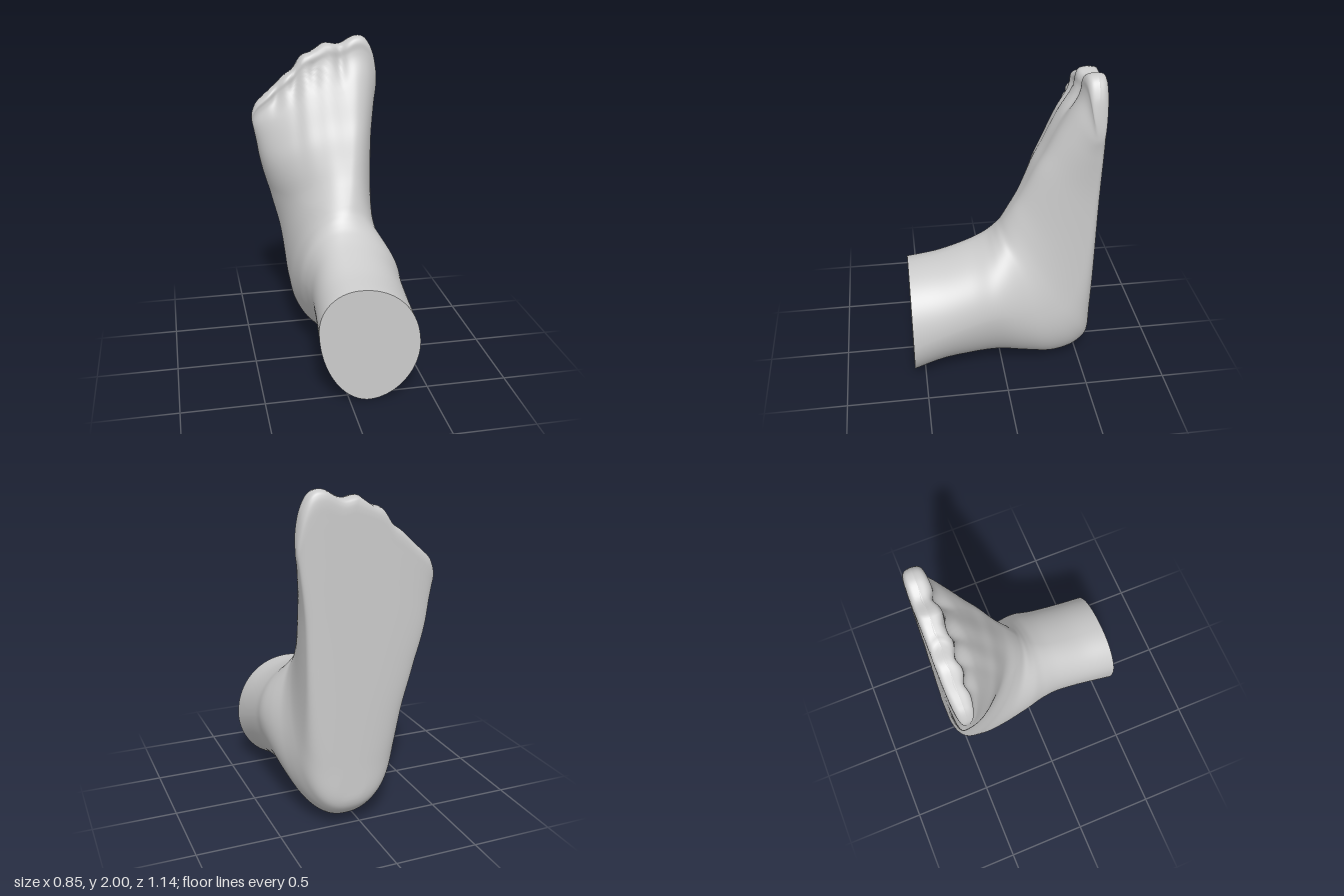
import * as THREE from 'three';

// Section lines: u, instep y, instep z, sole y, sole z (from ankle cut, round the heel, to the toes)
const PATH = [
  [0, 0.73, 0.57, 0.005, 0.57], [1, 0.765, 0.38, 0.055, 0.39], [2, 0.83, 0.2, 0.07, 0.2],
  [3, 0.885, 0.1, 0.08, 0.02], [4, 0.93, 0.05, 0.05, -0.17], [5, 0.97, 0.02, 0.025, -0.33],
  [6, 1.0, 0, 0.05, -0.45], [7, 1.04, -0.02, 0.11, -0.53], [8, 1.09, -0.045, 0.2, -0.57],
  [9, 1.14, -0.07, 0.4, -0.57], [10, 1.21, -0.105, 0.65, -0.57], [11, 1.3, -0.145, 0.9, -0.57],
  [12, 1.42, -0.195, 1.2, -0.57], [13, 1.53, -0.25, 1.42, -0.57], [14, 1.65, -0.305, 1.6, -0.57],
  [15, 1.76, -0.36, 1.75, -0.57], [16, 1.85, -0.41, 1.85, -0.57], [17, 1.91, -0.43, 1.92, -0.57],
  [18, 1.96, -0.435, 1.965, -0.565], [19, 1.99, -0.455, 1.99, -0.55], [20, 2.0, -0.505, 2.0, -0.505],
];
// Section shape: u, xMin, xMax, crest x, sole x, widest point right / left (0 top, 1 sole), roundness top / sole
const SHAPE = [
  [0, -0.185, 0.425, 0.06, 0.12, 0.34, 0.53, 0.95, 1.05],
  [2, -0.16, 0.415, 0.05, 0.12, 0.38, 0.46, 0.97, 1.15],
  [3, -0.175, 0.425, 0.06, 0.12, 0.42, 0.45, 1, 1.15],
  [4, -0.2, 0.412, 0.08, 0.11, 0.45, 0.47, 1, 1.05],
  [6, -0.22, 0.37, 0.1, 0.09, 0.55, 0.52, 1, 0.9],
  [8, -0.23, 0.345, 0.12, 0.09, 0.62, 0.62, 0.95, 0.8],
  [10, -0.26, 0.335, 0.14, 0.08, 0.78, 0.75, 0.95, 0.6],
  [12, -0.365, 0.342, 0.16, 0, 0.83, 0.8, 0.92, 0.5],
  [14, -0.405, 0.37, 0.15, 0, 0.75, 0.78, 0.9, 0.5],
  [16, -0.425, 0.39, 0.08, 0, 0.6, 0.65, 0.8, 0.5],
  [18, -0.428, 0.385, 0, 0, 0.5, 0.5, 0.65, 0.6],
  [20, -0.41, 0.36, 0, 0, 0.5, 0.5, 0.8, 0.8],
];
// Outline of the toe tips: x, y
const TIPS = [
  [-0.43, 1.53], [-0.4, 1.59], [-0.36, 1.63], [-0.29, 1.69], [-0.21, 1.765], [-0.155, 1.805], [-0.1, 1.885],
  [-0.03, 1.91], [0.04, 1.96], [0.14, 1.952], [0.24, 2.0], [0.31, 1.985], [0.36, 1.9], [0.39, 1.78],
];
const GROOVES = [0.14, -0.025, -0.15, -0.27];

// Smooth interpolation through rows keyed by their first number
function sample(rows, u) {
  const last = rows.length - 1;
  u = THREE.MathUtils.clamp(u, rows[0][0], rows[last][0]);
  let k = 0;
  while (k < last - 1 && u > rows[k + 1][0]) k++;
  const p = rows[k], q = rows[k + 1], h = q[0] - p[0], t = (u - p[0]) / h;
  const before = rows[Math.max(k - 1, 0)], after = rows[Math.min(k + 2, last)];
  return p.slice(1).map((a, n) => {
    const i = n + 1, b = q[i];
    const ma = (b - before[i]) / (q[0] - before[0]) * h;
    const mb = (after[i] - a) / (after[0] - p[0]) * h;
    const t2 = t * t, t3 = t2 * t;
    return (2 * t3 - 3 * t2 + 1) * a + (t3 - 2 * t2 + t) * ma + (3 * t2 - 2 * t3) * b + (t3 - t2) * mb;
  });
}

function sectionPoint(u, angle) {
  const [ay, az, by, bz] = sample(PATH, u);
  const [xMin, xMax, xA, xB, mR, mL, eT, eB] = sample(SHAPE, u);
  const c = Math.cos(angle), s = Math.sin(angle);
  const top = s >= 0, e = top ? eT : eB;
  const across = Math.abs(c) ** e, along = Math.abs(s) ** e;
  const axis = top ? xA : xB, m = c > 0 ? mL : mR;
  const x = axis + ((c > 0 ? xMax : xMin) - axis) * across;
  const d = top ? m * (1 - along) : m + (1 - m) * along;
  let y = ay + (by - ay) * d;
  let z = Math.max(az + (bz - az) * d, -0.57);
  // shallow grooves between the toes on the upper side
  if (top) {
    const fade = THREE.MathUtils.smoothstep(y, 1.72, 1.92) * along;
    for (const g of GROOVES) z -= 0.024 * fade * Math.exp(-(((x - g) / 0.035) ** 2)) * (z + 0.57) / 0.14;
  }
  // shorten the forefoot towards the little toe
  if (y > 1) y = 1 + (y - 1) * (sample(TIPS, x)[0] - 1);
  return [x, Math.max(y, 0), z];
}

export function createModel() {
  const group = new THREE.Group();
  group.name = 'foot';
  const material = new THREE.MeshStandardMaterial({ color: 0xcccccc, roughness: 0.8 });
  const rings = 120, sides = 144;

  // skin lofted through the sections
  const positions = [], index = [];
  for (let i = 0; i <= rings; i++) {
    for (let j = 0; j < sides; j++) {
      positions.push(...sectionPoint(i / rings * 20, j / sides * Math.PI * 2));
      if (i === rings) continue;
      const a = i * sides + j, b = i * sides + (j + 1) % sides;
      index.push(a, a + sides, b, b, a + sides, b + sides);
    }
  }
  const skin = new THREE.BufferGeometry();
  skin.setAttribute('position', new THREE.Float32BufferAttribute(positions, 3));
  skin.setIndex(index);
  skin.computeVertexNormals();
  const foot = new THREE.Mesh(skin, material);
  foot.name = 'footAndAnkle';
  group.add(foot);

  // flat cut across the ankle
  const outline = [];
  for (let j = 0; j < sides; j++) {
    const [x, y] = sectionPoint(0, j / sides * Math.PI * 2);
    outline.push(new THREE.Vector2(x, y));
  }
  const cut = new THREE.Mesh(new THREE.ShapeGeometry(new THREE.Shape(outline)), material);
  cut.position.z = 0.57;
  cut.name = 'ankleCut';
  group.add(cut);

  return group;
}
